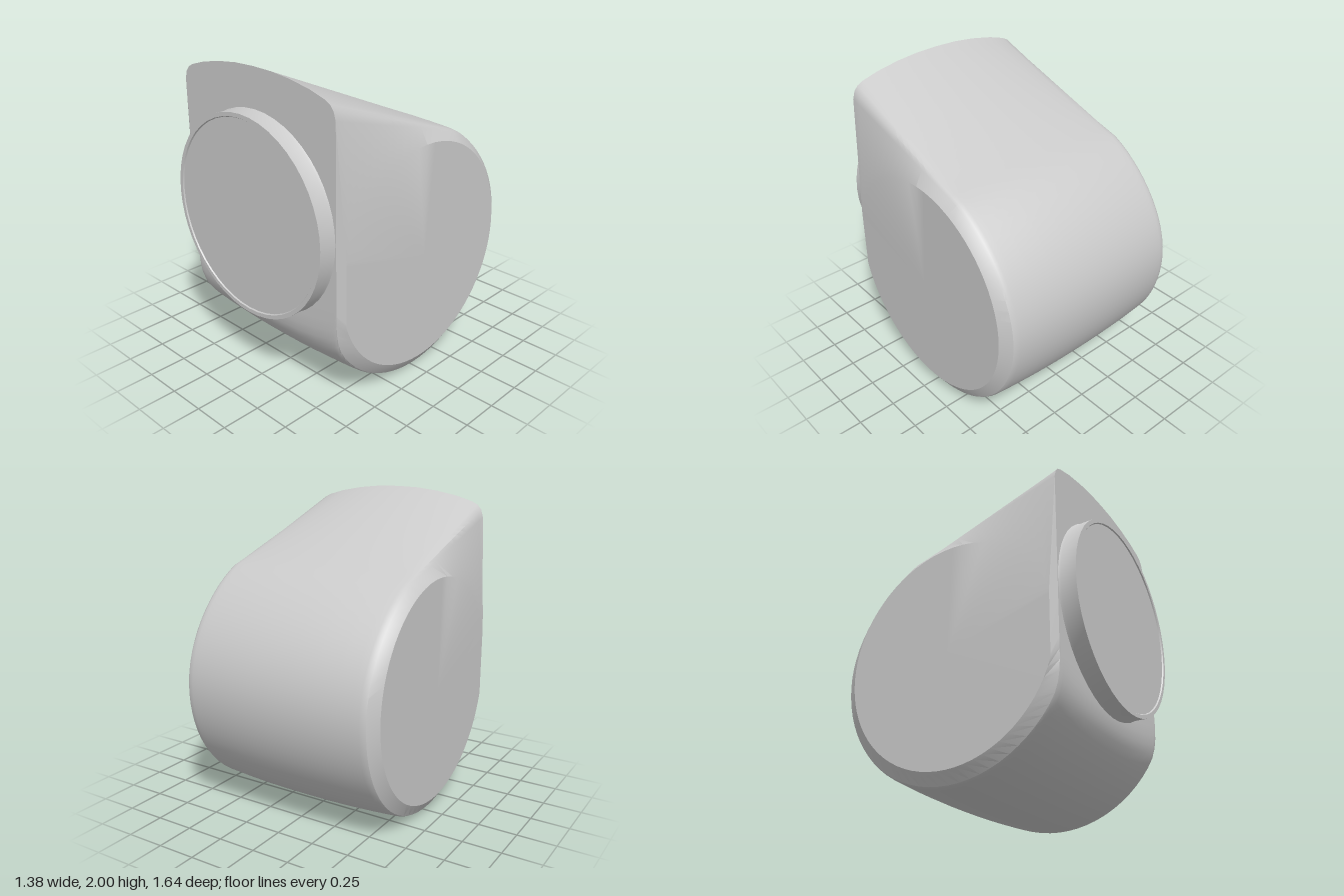
import * as THREE from 'three';
import { toCreasedNormals } from 'three/addons/utils/BufferGeometryUtils.js';

const CY = 0.82; // height of the drum axis
const ARC = 48, LINE = 16;
const ROOF = THREE.MathUtils.degToRad(-247); // where the drum meets the roof

// Minimum of two values with a soft changeover of width k
function softMin(a, b, k) {
  const h = Math.max(k - Math.abs(a - b), 0) / k;
  return Math.min(a, b) - h * h * k / 4;
}

// Teardrop outline seen from the side: drum arc, sloped roof, flat front
function teardrop({ x, r, drop }) {
  const pts = [], front = 0.715, soft = 0.06;
  const a0 = -Math.acos((front + soft) / r);
  for (let i = 0; i <= ARC; i++) {
    const a = a0 + (ROOF - a0) * i / ARC;
    // the upper back is slightly flatter than a circle
    const rr = a < -Math.PI ? r - 0.02 * Math.sin(2 * a) ** 2 : r;
    pts.push([x, CY + rr * Math.sin(a), softMin(rr * Math.cos(a), front, soft)]);
  }
  const s = pts[0], t = pts[ARC], top = 2 - drop;
  for (let i = 1; i <= LINE; i++) {
    const k = i / LINE;
    pts.push([x, t[1] + (top - t[1]) * k, t[2] + (front - t[2]) * k]);
  }
  for (let i = 1; i < LINE; i++) pts.push([x, top + (s[1] - top) * i / LINE, front]);
  return pts;
}

// Round side face, cut straight at the front, with points matching the teardrop
function sideDisc(x, r, front) {
  const pts = [], a0 = -Math.acos(front / r), a2 = -2 * Math.PI - a0;
  const add = a => pts.push([x, CY + r * Math.sin(a), r * Math.cos(a)]);
  for (let i = 0; i <= ARC; i++) add(a0 + (ROOF - a0) * i / ARC);
  for (let i = 1; i <= LINE; i++) add(ROOF + (a2 - ROOF) * i / LINE);
  const y = r * Math.sin(-a0);
  for (let i = 1; i < LINE; i++) pts.push([x, CY + y - 2 * y * i / LINE, front]);
  return pts;
}

// Crowned body lofted across x, with bevelled rims and closed sides
function bodyGeometry() {
  const half = [
    { x: 0, r: 0.82, drop: 0 },
    { x: 0.15, r: 0.819, drop: 0.004 },
    { x: 0.3, r: 0.815, drop: 0.02 },
    { x: 0.45, r: 0.808, drop: 0.048 },
    { x: 0.56, r: 0.801, drop: 0.08 },
    { x: 0.6, r: 0.798, drop: 0.1 },
    { x: 0.625, r: 0.795, drop: 0.13 },
    { x: 0.64, r: 0.788, drop: 0.18 },
  ];
  const mirrored = half.slice(1).reverse().map(s => ({ ...s, x: -s.x }));
  const rings = [
    sideDisc(-0.688, 0.715, 0.685),
    ...[...mirrored, ...half].map(teardrop),
    sideDisc(0.688, 0.715, 0.685),
  ];
  const n = rings[0].length, pos = [];
  const tri = (a, b, c) => pos.push(...a, ...b, ...c);
  for (let k = 0; k < rings.length - 1; k++) {
    for (let i = 0; i < n; i++) {
      const j = (i + 1) % n, p = rings[k], q = rings[k + 1];
      tri(p[i], p[j], q[i]);
      tri(p[j], q[j], q[i]);
    }
  }
  const L = rings[0], R = rings[rings.length - 1];
  for (let i = 0; i < n; i++) {
    const j = (i + 1) % n;
    tri([R[0][0], CY, 0], R[i], R[j]);
    tri([L[0][0], CY, 0], L[j], L[i]);
  }
  const g = new THREE.BufferGeometry();
  g.setAttribute('position', new THREE.Float32BufferAttribute(pos, 3));
  return toCreasedNormals(g, 0.5);
}

// Round collar with a thin lip around a flat face
function collarGeometry() {
  const profile = [[0.64, 0.7], [0.628, 0.73], [0.63, 0.825], [0.605, 0.825], [0.6, 0.817], [0, 0.817]]
    .map(([r, h]) => new THREE.Vector2(r, h));
  const g = new THREE.LatheGeometry(profile, 48);
  g.rotateX(Math.PI / 2);
  return toCreasedNormals(g, 0.5);
}

export function createModel() {
  const group = new THREE.Group();
  const grey = new THREE.MeshStandardMaterial({ color: 0xcacaca, side: THREE.DoubleSide });
  grey.name = 'light grey';

  const body = new THREE.Mesh(bodyGeometry(), grey);
  body.name = 'body';
  group.add(body);

  const collar = new THREE.Mesh(collarGeometry(), grey);
  collar.name = 'frontCollar';
  collar.position.y = 1.12;
  group.add(collar);

  return group;
}
